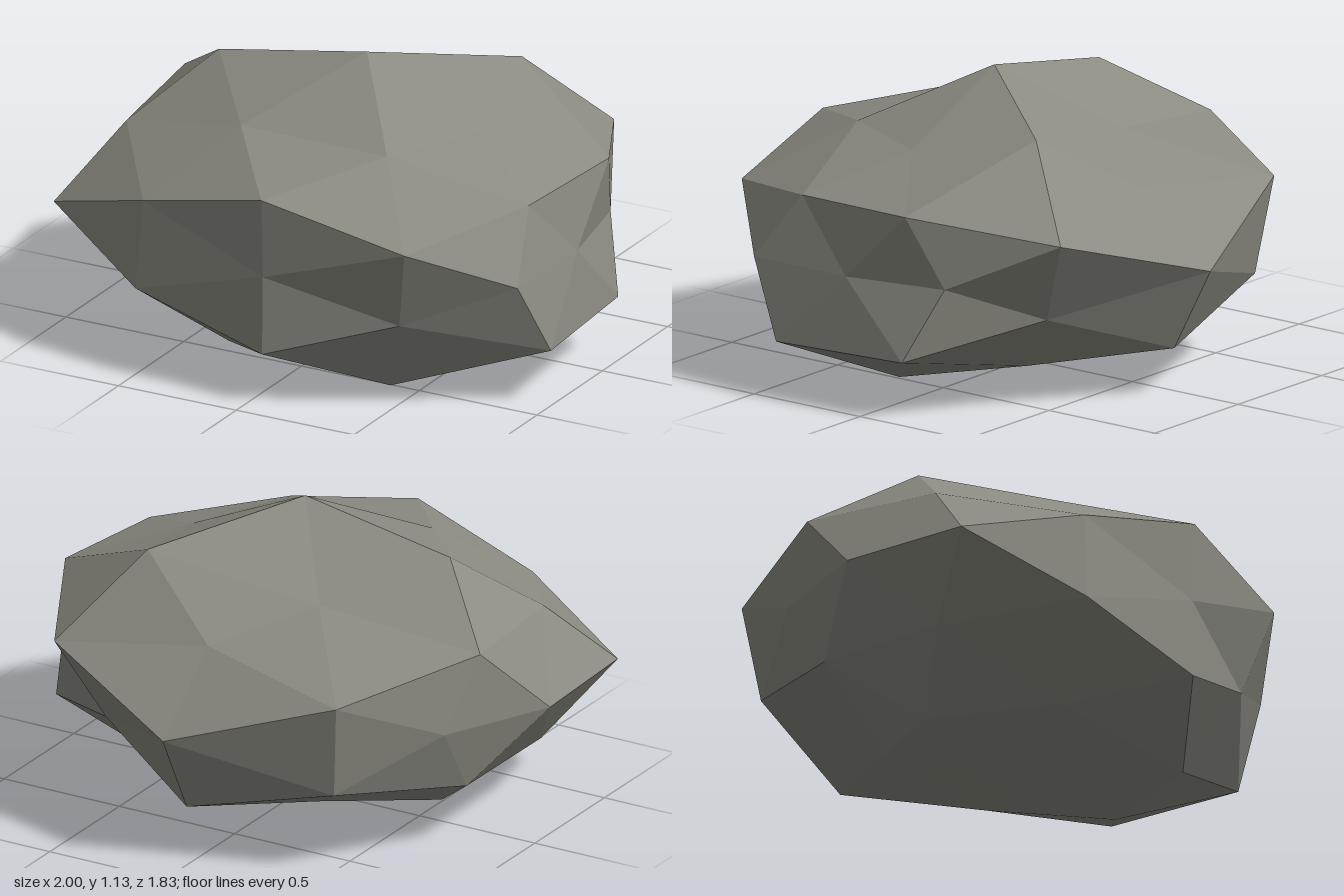
import * as THREE from 'three';

// Radial distance of each icosphere vertex, grouped by its |x|,|y| direction class.
// Entries in a group run through the signs of x, then y, then z (+ before -).
const RADII = {
  '1.0,0.0': [0.72, 0.857], // +x, -x (few signs)
  '0.0,1.0': [1.0, 0.825], // +y, -y
  '0.0,0.0': [0.8, 1.022], // +z, -z
  '0.5,0.9': [0.755, 0.872, 0.964, 0.907],
  '0.0,0.5': [0.953, 0.82, 0.945, 1.0],
  '0.9,0.0': [0.837, 0.768, 0.988, 0.82],
  '0.3,0.8': [0.803, 0.997, 0.95, 0.805, 0.812, 0.75, 0.89, 0.8],
  '0.8,0.5': [0.825, 0.875, 0.938, 0.908, 0.87, 0.93, 0.86, 0.857],
  '0.5,0.3': [0.92, 0.982, 0.8, 0.78, 0.89, 1.02, 0.92, 0.95],
};

// Pick the radius from the signs of the non-zero components
function radiusFor(d) {
  const key = Math.abs(d.x).toFixed(1) + ',' + Math.abs(d.y).toFixed(1);
  let index = 0;
  for (const c of [d.x, d.y, d.z]) {
    if (Math.abs(c) > 0.01) index = index * 2 + (c < 0 ? 1 : 0);
  }
  return RADII[key][index];
}

export function createModel() {
  const group = new THREE.Group();
  group.name = 'rock';

  const stone = new THREE.MeshStandardMaterial({ color: 0x8b8b82 });
  stone.name = 'stone grey';

  // Faceted boulder: a squashed icosphere with uneven radii
  const geometry = new THREE.IcosahedronGeometry(1, 1);
  const pos = geometry.attributes.position;
  const d = new THREE.Vector3();
  for (let i = 0; i < pos.count; i++) {
    d.fromBufferAttribute(pos, i).normalize();
    const r = radiusFor(d);
    pos.setXYZ(i, d.x * r * 1.24 + 0.06, d.y * r * 0.62 + 0.512, d.z * r + 0.106);
  }
  geometry.computeVertexNormals(); // unshared corners give flat facets

  const boulder = new THREE.Mesh(geometry, stone);
  boulder.name = 'boulder';
  group.add(boulder);
  return group;
}
